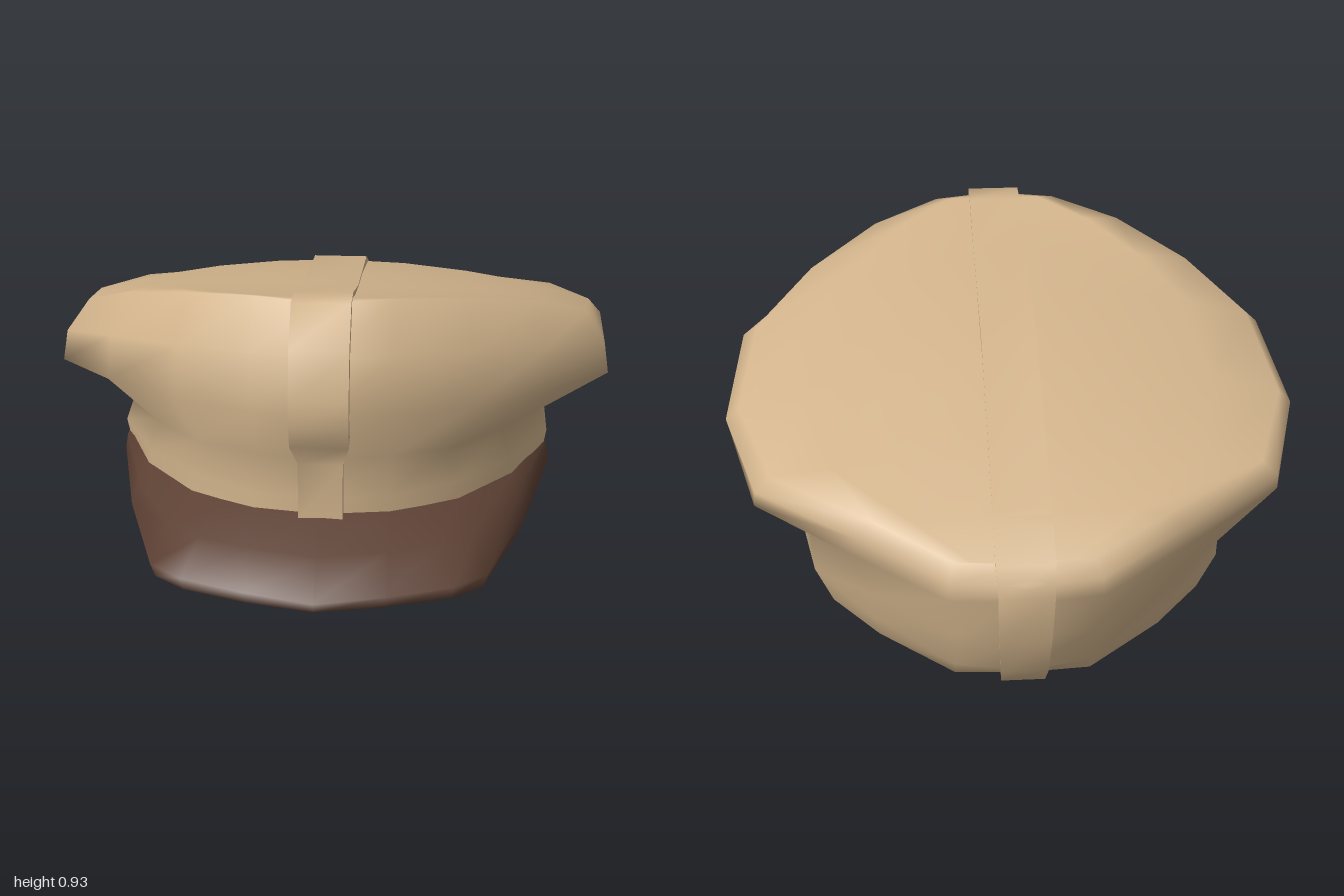
import * as THREE from 'three';
import { mergeGeometries, mergeVertices } from 'three/addons/utils/BufferGeometryUtils.js';

const cloth = new THREE.MeshStandardMaterial({ name: 'tanCloth', color: 0xd2b48c, side: THREE.DoubleSide });
const leather = new THREE.MeshStandardMaterial({ name: 'brownLeather', color: 0x5c4033, side: THREE.DoubleSide });

// Surface through rows of [x, y, z] points
function grid(rows) {
  const n = rows[0].length, index = [];
  for (let i = 0; i < rows.length - 1; i++) {
    for (let j = 0; j < n - 1; j++) {
      const a = i * n + j, c = a + n;
      index.push(a, a + 1, c + 1, a, c + 1, c);
    }
  }
  const g = new THREE.BufferGeometry();
  g.setAttribute('position', new THREE.Float32BufferAttribute(rows.flat(2), 3));
  g.setIndex(index);
  g.computeVertexNormals();
  return g;
}

// Weld several grids into one smooth surface
function weld(parts) {
  const g = mergeGeometries(parts);
  g.deleteAttribute('normal');
  const w = mergeVertices(g, 1e-4);
  w.computeVertexNormals();
  return w;
}

const flip = ([x, y, z]) => [-x, y, z];
// Front-to-back half outline closed into a ring
const ring = (h) => [...h, ...h.slice(0, -1).reverse().map(flip)];
// Centre-to-side half outline opened into an arc
const arc = (h) => [...h.slice(1).reverse().map(flip), ...h];
const lerp = THREE.MathUtils.lerp;
const mix = (a, b, t) => a.map((p, i) => p.map((v, k) => lerp(v, b[i][k], t)));

function named(name, geometry, material) {
  const m = new THREE.Mesh(geometry, material);
  m.name = name;
  return m;
}

// Half outlines of the crown, from the front middle to the back middle
const hem = [[0, .2, .7], [.2, .2, .66], [.39, .2, .55], [.55, .19, .36], [.665, .16, .05],
  [.64, .12, -.27], [.56, .09, -.56], [.42, .06, -.7], [.2, .015, -.84], [0, .02, -.86]];
const band = [[0, .34, .7], [.2, .34, .66], [.39, .34, .55], [.56, .33, .36], [.685, .31, .08],
  [.69, .3, -.22], [.61, .22, -.58], [.43, .16, -.76], [.2, .1, -.91], [0, .08, -.925]];
const waist = [[0, .47, .7], [.2, .47, .67], [.38, .46, .57], [.53, .44, .38], [.64, .43, .12],
  [.67, .41, -.25], [.62, .35, -.55], [.43, .26, -.78], [.2, .22, -.93], [0, .22, -.965]];
const widest = [[0, .62, .77], [.2, .62, .72], [.43, .6, .6], [.67, .58, .4], [.86, .55, .17],
  [.865, .53, -.27], [.77, .48, -.62], [.5, .42, -.79], [.22, .37, -.97], [0, .37, -.995]];
const rim = [[0, .925, .64], [.2, .925, .59], [.41, .89, .47], [.62, .82, .28], [.79, .72, .07],
  [.83, .63, -.3], [.72, .575, -.62], [.42, .54, -.82], [.2, .47, -.93], [0, .46, -.94]];

// Height of the crown along its middle line
const ridgeLine = [[.64, .925], [.3, .86], [-.2, .79], [-.8, .545], [-.94, .46]];
function ridge(z) {
  for (let i = 0; i < ridgeLine.length - 1; i++) {
    const [z0, y0] = ridgeLine[i], [z1, y1] = ridgeLine[i + 1];
    if (z >= z1) return lerp(y0, y1, (z0 - z) / (z0 - z1));
  }
  return .46;
}

function buildCrown() {
  // Rounded shoulder between the widest outline and the top rim
  const shoulder = mix(widest, rim, .55).map(([x, y, z]) => [x * 1.03, y, z > 0 ? z + .04 : z * 1.02]);
  const wall = grid([hem, band, waist, widest, shoulder, rim].map(ring));
  // Domed top, slung from rim to rim
  const top = grid(rim.map(([x, y, z]) => {
    const row = [];
    for (let k = -4; k <= 4; k++) {
      const t = k / 4;
      row.push([x * t, lerp(Math.max(y, ridge(z)), y, t * t), z]);
    }
    return row;
  }));
  return named('crown', weld([wall, top]), cloth);
}

// Raised strip running over the middle: [z, y, half width]
function buildStrap() {
  const path = [[.715, .28, .065], [.715, .46, .065], [.755, .53, .085], [.782, .6, .085], [.782, .68, .085],
    [.75, .82, .085], [.66, .932, .085], [.56, .932, .085], [.3, .864, .085], [-.2, .795, .085], [-.8, .55, .085],
    [-.95, .465, .085], [-1, .39, .08], [-.975, .22, .075], [-.93, .08, .07], [-.87, 0, .065]];
  const sections = path.map(([z, y, w], i) => {
    const a = path[Math.max(i - 1, 0)], b = path[Math.min(i + 1, path.length - 1)];
    const dz = b[0] - a[0], dy = b[1] - a[1], d = .045 / Math.hypot(dz, dy);
    const zi = z - dy * d, yi = Math.max(0, y + dz * d);
    return [[-w, yi, zi], [-w, y, z], [w, y, z], [w, yi, zi]];
  });
  const faces = [0, 1, 2].map((k) => grid(sections.map((s) => [s[k], s[k + 1]])));
  return named('centreStrap', mergeGeometries(faces), cloth);
}

function buildBrim() {
  // Half outlines from the front middle to the side tip
  const inner = [[0, .295, .7], [.2, .295, .67], [.3, .293, .62], [.4, .29, .56],
    [.565, .285, .36], [.68, .268, .06], [.68, .19, -.25]];
  const outer = [[0, .165, 1], [.2, .17, .955], [.39, .175, .895], [.485, .18, .825],
    [.605, .19, .46], [.697, .2, .06], [.69, .19, -.25]];
  const lowY = [.125, .125, .128, .13, .13, .145, .185];
  const lower = outer.map(([x, , z], i) => [x * .98, lowY[i], z > 0 ? z * .975 : z]);
  const under = inner.map(([x, , z], i) => [x * .95, lowY[i] + .012, z > 0 ? z * .97 : z]);
  const bulge = mix(outer, inner, .45).map(([x, y, z], i) => [x, y + (i < 6 ? .015 : 0), z]);

  const brim = new THREE.Group();
  brim.name = 'brim';
  brim.add(named('brimTop', grid([lower, outer, bulge, inner].map(arc)), leather));
  brim.add(named('brimLining', grid([under, lower].map(arc)), cloth));
  // Thin inner edge closing the brim against the band
  brim.add(named('brimInnerEdge', grid([inner, under].map(arc)), leather));
  return brim;
}

export function createModel() {
  const cap = new THREE.Group();
  cap.name = 'cap';
  cap.add(buildCrown(), buildStrap(), buildBrim());
  return cap;
}
